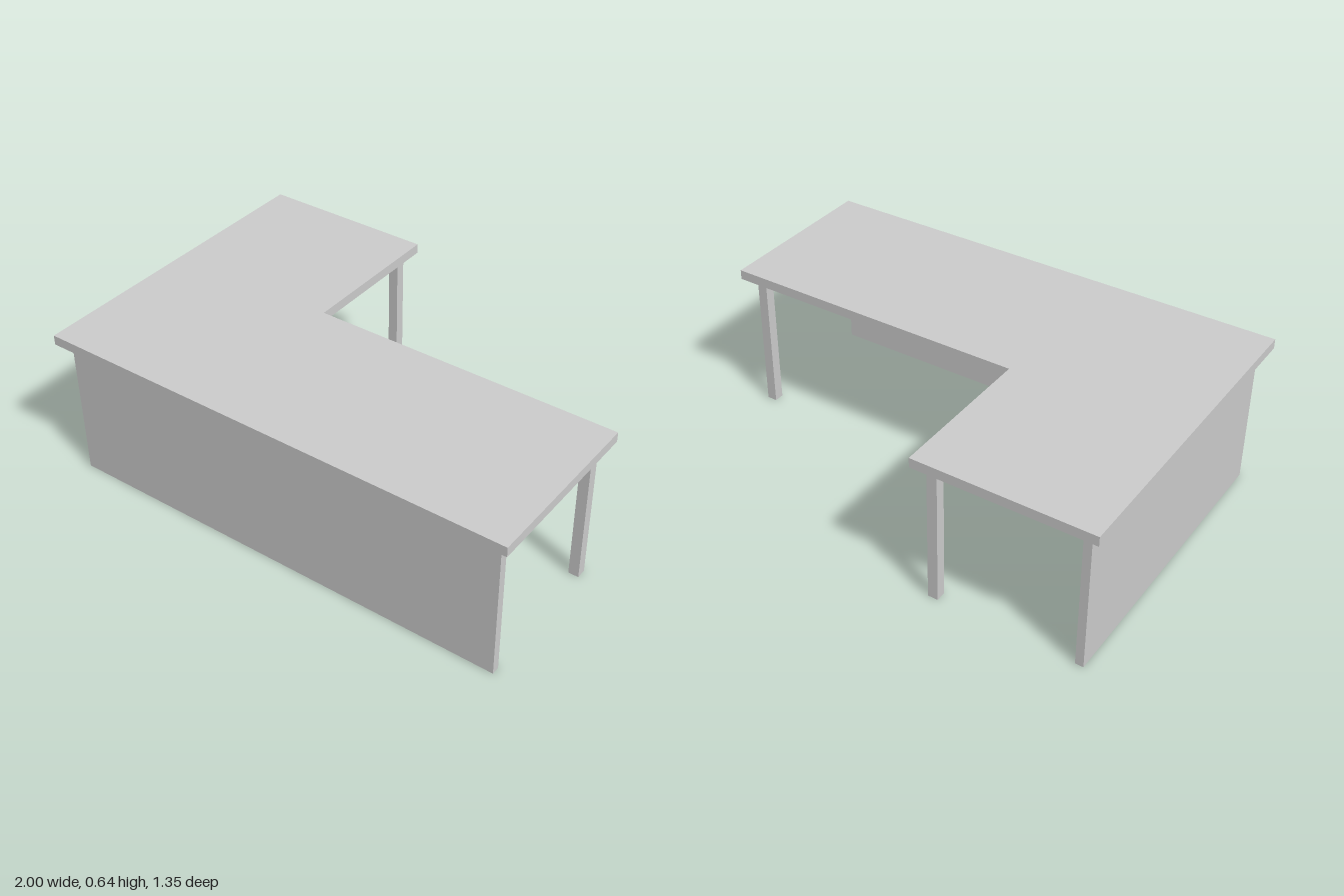
import * as THREE from 'three';

const HEIGHT = 0.597; // underside of the desktop
const TOP = 0.04;     // desktop thickness
const LEG = 0.042;    // leg width
const PANEL = 0.033;  // panel thickness

export function createModel() {
  const group = new THREE.Group();
  const material = new THREE.MeshStandardMaterial({ color: 0xcccccc });

  const add = (name, geometry) => {
    const mesh = new THREE.Mesh(geometry, material);
    mesh.name = name;
    group.add(mesh);
    return mesh;
  };

  // Upright standing on the floor, given its extent in x and z
  const upright = (name, x0, x1, z0, z1) => {
    const mesh = add(name, new THREE.BoxGeometry(x1 - x0, HEIGHT, z1 - z0));
    mesh.position.set((x0 + x1) / 2, HEIGHT / 2, (z0 + z1) / 2);
  };

  // L-shaped desktop, drawn in plan (shape y = -z) and extruded upwards
  const plan = new THREE.Shape([
    [-1, -0.677], [1, -0.677], [1, 0.042], [-0.273, 0.042], [-0.273, 0.677], [-1, 0.677],
  ].map(([x, y]) => new THREE.Vector2(x, y)));
  const desktop = new THREE.ExtrudeGeometry(plan, { depth: TOP, bevelEnabled: false });
  desktop.rotateX(-Math.PI / 2);
  add('desktop', desktop).position.y = HEIGHT;

  // Closed panels along the two outer sides
  upright('frontPanel', -0.955, 0.955, 0.633 - PANEL, 0.633);
  upright('sidePanel', -0.955, -0.955 + PANEL, -0.633, 0.633 - PANEL);

  // Square legs under the open corners
  const legs = { wingLeg: [0.935, 0.027], innerCornerLeg: [-0.335, 0.027], returnLeg: [-0.335, -0.613] };
  for (const [name, [x, z]] of Object.entries(legs)) {
    upright(name, x - LEG / 2, x + LEG / 2, z - LEG / 2, z + LEG / 2);
  }

  return group;
}
